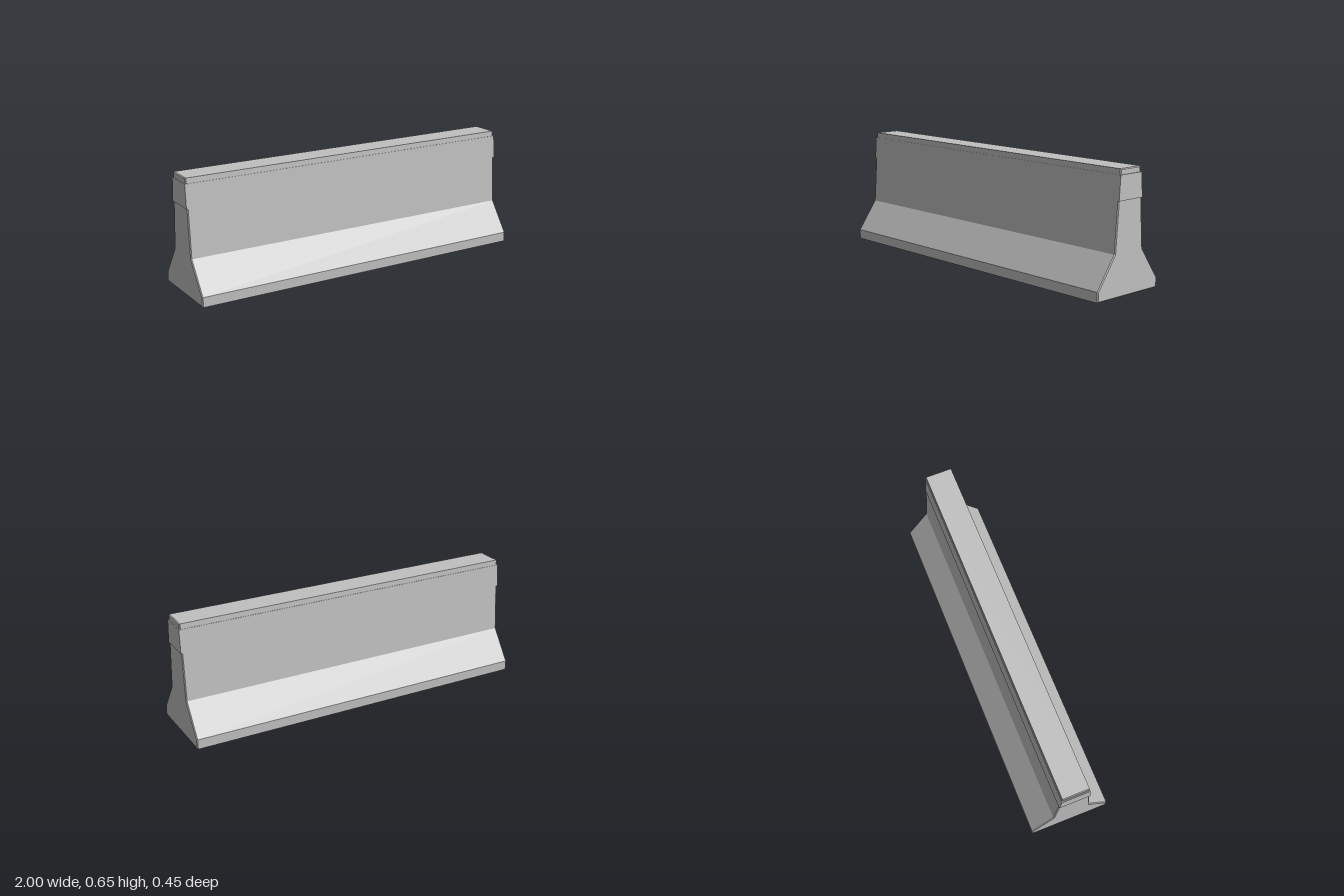
import * as THREE from 'three';

// Half profile of the barrier: [half width, height]
const BODY = [[0.225, 0], [0.225, 0.055], [0.105, 0.225], [0.075, 0.65]];
// Tapered band wrapped around the upper wall
const BAND = [[0.088, 0.49], [0.079, 0.62]];

// Mirrors a half profile and runs it along x, with chamfered ends
function makeBar(name, half, halfLength, bevel, material) {
  const points = [
    ...half.map(([w, y]) => new THREE.Vector2(w, y)),
    ...half.slice().reverse().map(([w, y]) => new THREE.Vector2(-w, y)),
  ];
  const depth = 2 * (halfLength - bevel);
  const geometry = new THREE.ExtrudeGeometry(new THREE.Shape(points), {
    depth,
    bevelEnabled: bevel > 0,
    bevelThickness: bevel,
    bevelSize: bevel,
    bevelOffset: -bevel,
    bevelSegments: 1,
  });
  geometry.translate(0, 0, -depth / 2);
  geometry.rotateY(Math.PI / 2);
  const mesh = new THREE.Mesh(geometry, material);
  mesh.name = name;
  return mesh;
}

export function createModel() {
  const concrete = new THREE.MeshStandardMaterial({ color: 0xc0c0c0, flatShading: true });
  concrete.name = 'concrete grey';

  const model = new THREE.Group();
  model.name = 'roadBarrier';
  model.add(makeBar('barrierBody', BODY, 0.995, 0.005, concrete));
  model.add(makeBar('upperBand', BAND, 1, 0, concrete));
  return model;
}
